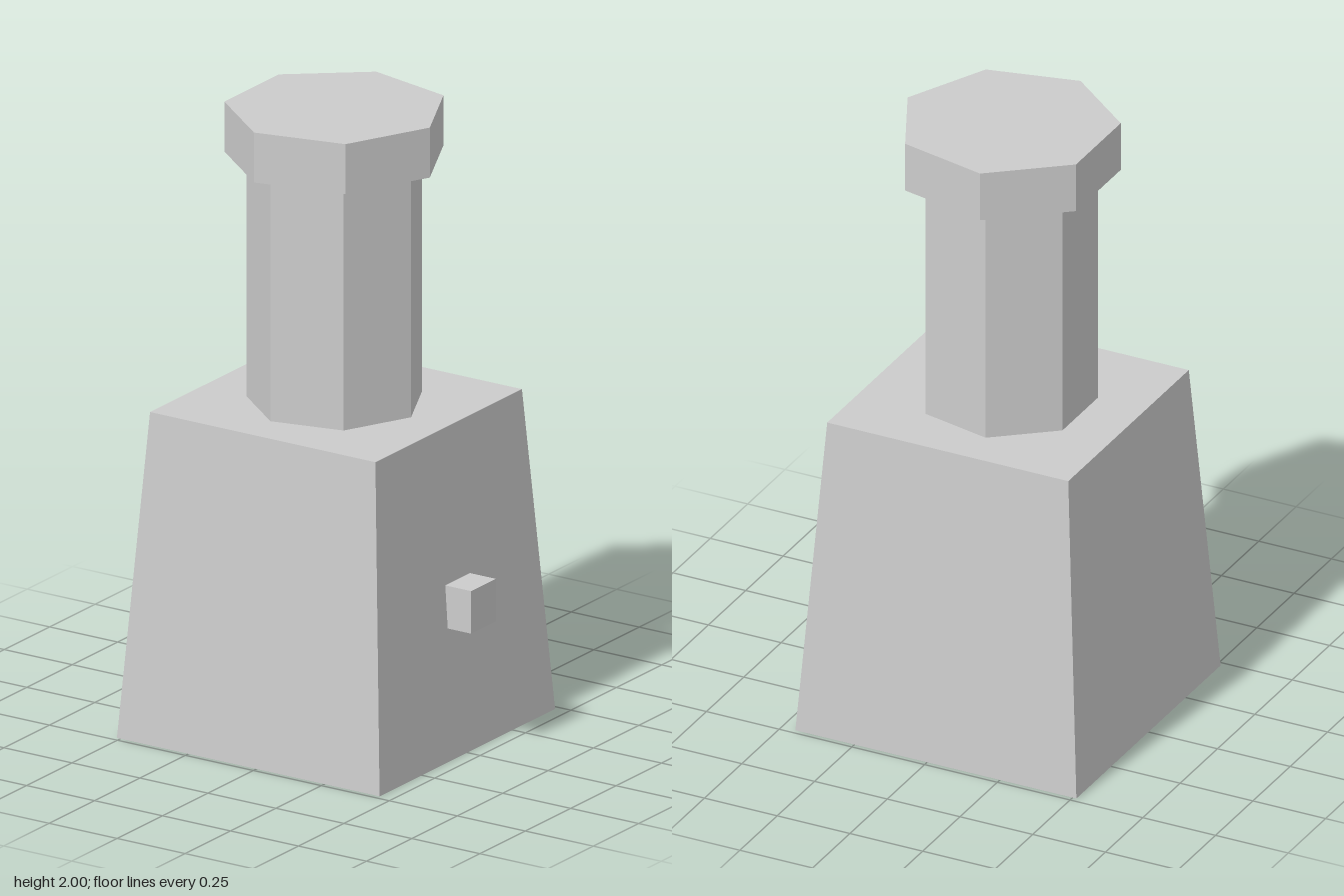
import * as THREE from 'three';

const AXIS_X = -0.03; // shared vertical axis of base, column and cap

export function createModel() {
  const group = new THREE.Group();
  const material = new THREE.MeshStandardMaterial({ color: 0xcccccc, flatShading: true });

  function add(name, geometry, x, y, z = 0) {
    const mesh = new THREE.Mesh(geometry, material);
    mesh.name = name;
    mesh.position.set(x, y, z);
    group.add(mesh);
  }

  // Seven-sided prism with one corner pointing to +x
  function prism(name, radius, y0, y1) {
    const geometry = new THREE.CylinderGeometry(radius, radius, y1 - y0, 7, 1, false, Math.PI / 2);
    add(name, geometry, AXIS_X, (y0 + y1) / 2);
  }

  // Base block, narrowing towards the top
  const baseHeight = 1.047;
  const base = new THREE.BoxGeometry(0.966, baseHeight, 0.966);
  const p = base.attributes.position;
  for (let i = 0; i < p.count; i++) {
    if (p.getY(i) > 0) p.setXYZ(i, p.getX(i) * 0.858, p.getY(i), p.getZ(i) * 0.835);
  }
  base.computeVertexNormals();
  add('base', base, AXIS_X, baseHeight / 2);

  // Column and its wider cap
  prism('column', 0.276, baseHeight, 1.838);
  prism('cap', 0.345, 1.838, 2);

  // Small knob set into the left side of the base
  add('knob', new THREE.BoxGeometry(0.13, 0.138, 0.136), 0.447, 0.486, -0.001);

  return group;
}
